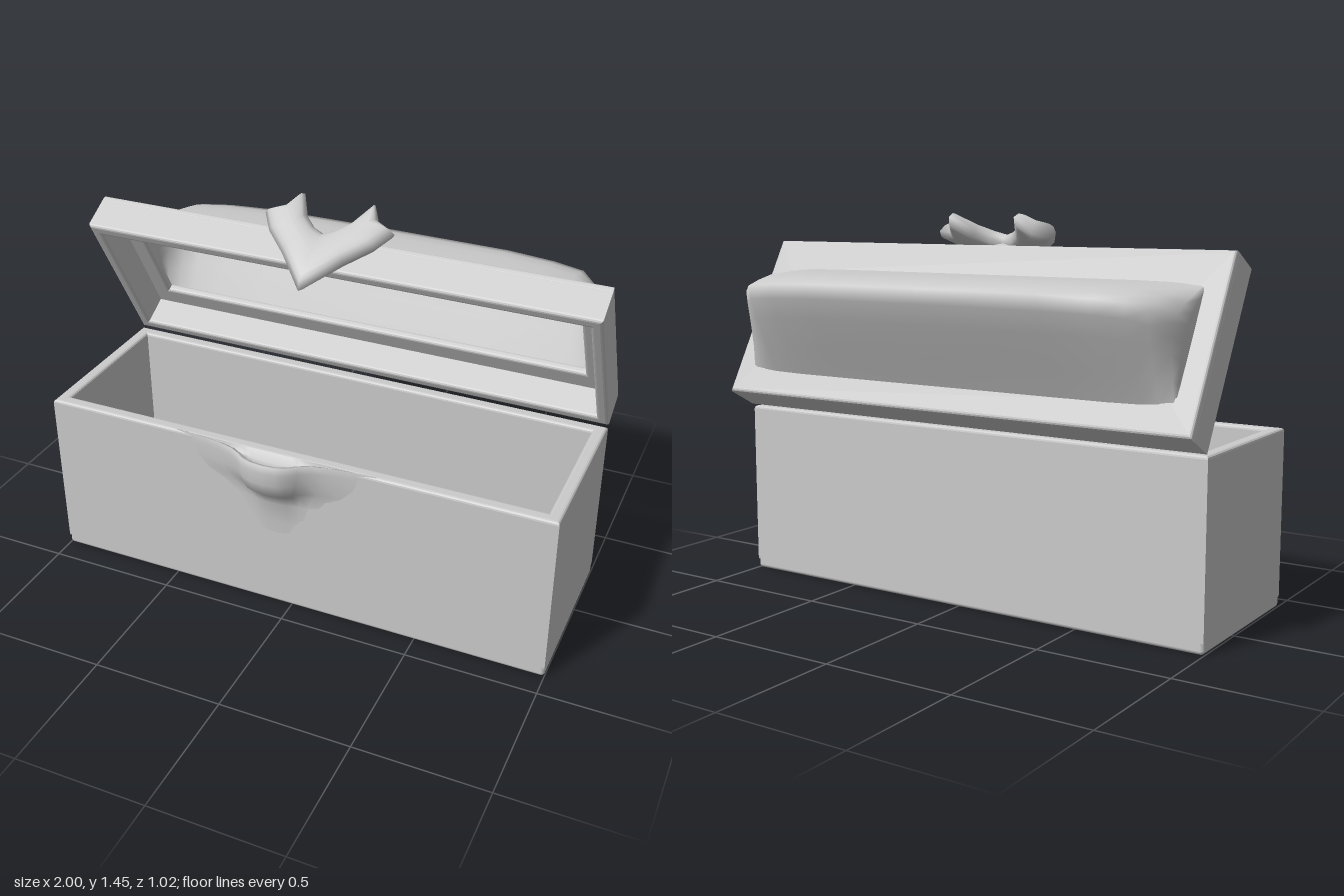
import * as THREE from 'three';
import { RoundedBoxGeometry } from 'three/addons/geometries/RoundedBoxGeometry.js';

const material = new THREE.MeshStandardMaterial({ color: 0xcccccc, side: THREE.DoubleSide });

function add(parent, name, geometry) {
  const mesh = new THREE.Mesh(geometry, material);
  mesh.name = name;
  parent.add(mesh);
  return mesh;
}

// Rectangular frame with softened edges; rectangles are [halfWidth, z0, z1]
function frame(outer, hole, y0, y1, bevel = 0.012) {
  const trace = (path, [hw, z0, z1]) =>
    path.moveTo(-hw, -z1).lineTo(hw, -z1).lineTo(hw, -z0).lineTo(-hw, -z0).closePath();
  const shape = trace(new THREE.Shape(), outer);
  shape.holes.push(trace(new THREE.Path(), hole));
  return new THREE.ExtrudeGeometry(shape, {
    depth: y1 - y0 - 2 * bevel, bevelThickness: bevel, bevelSize: bevel, bevelOffset: -bevel, bevelSegments: 3,
  }).rotateX(-Math.PI / 2).translate(0, y0 + bevel, 0);
}

// Smooth surface through rows of points
function loft(rows, closed = false) {
  const n = rows[0].length, index = [];
  for (let i = 0; i < rows.length - 1; i++) {
    for (let j = 0; j < (closed ? n : n - 1); j++) {
      const k = (j + 1) % n, a = i * n + j, b = i * n + k;
      index.push(a, b, a + n, b, b + n, a + n);
    }
  }
  const g = new THREE.BufferGeometry();
  g.setAttribute('position', new THREE.Float32BufferAttribute(rows.flat(2), 3));
  g.setIndex(index);
  g.computeVertexNormals();
  return g;
}

// Half a symmetric list of [x, ...] mirrored to both sides
const mirrored = (half) => [...half.map(([x, ...r]) => [-x, ...r]).reverse(), ...half.slice(1)];

// Peaked hollow dome on the lid, lofted along x
function domeGeometry() {
  const profile = [[0.09, 0], [0.165, 0.11], [0.24, 0.225], [0.29, 0.29], [0.33, 0.33],
    [0.375, 0.285], [0.425, 0.225], [0.49, 0.11], [0.55, 0]];
  const stations = mirrored([[0, 1, 1], [0.5, 0.99, 1], [0.68, 0.95, 1], [0.8, 0.89, 0.99],
    [0.86, 0.72, 0.97], [0.91, 0.47, 0.95], [0.918, 0.2, 0.94], [0.92, 0, 0.94]]);
  return loft(stations.map(([x, h, w]) =>
    profile.map(([u, v]) => [x, 0.145 + v * h, 0.33 + (u - 0.33) * w])));
}

// Pillow-shaped V plate: the outline shrinks onto a V spine on both faces
function emblemGeometry() {
  // outline x, outline z, spine x, spine z
  const half = [[0, -0.133, 0, 0.01], [0.12, 0.01, 0.06, 0.07], [0.21, 0.1, 0.11, 0.12], [0.255, 0.175, 0.16, 0.18],
    [0.18, 0.215, 0.16, 0.18], [0.14, 0.29, 0.16, 0.18], [0.09, 0.19, 0.11, 0.12], [0.045, 0.145, 0.06, 0.07]];
  const outline = [...half, [0, 0.125, 0, 0.01],
    ...half.slice(1).reverse().map(([x, z, sx, sz]) => [-x, z, -sx, sz])];
  const rows = [];
  for (let i = -6; i <= 6; i++) {
    const t = 1 - Math.abs(i) / 6;
    const lift = Math.sign(i) * 0.043 * Math.sqrt(1 - t * t);
    rows.push(outline.map(([x, z, sx, sz]) => [sx + (x - sx) * t, lift, sz + (z - sz) * t]));
  }
  return loft(rows, true);
}

// Scooped catch that blends into the front wall
function catchGeometry() {
  const bell = mirrored([[0, 0.102], [0.05, 0.097], [0.09, 0.082], [0.12, 0.058], [0.16, 0.034],
    [0.22, 0.017], [0.32, 0.004], [0.4, -0.003]]);
  // height, fraction of depth, fraction of width
  const levels = [[0.28, 0, 0.6], [0.38, 0.06, 0.6], [0.47, 0.18, 0.62], [0.52, 0.42, 0.7], [0.55, 0.85, 0.82],
    [0.6, 0.97, 0.95], [0.65, 1, 1], [0.68, 0.96, 1], [0.678, 0.84, 0.9], [0.655, 0.7, 0.8], [0.655, 0.3, 0.8], [0.678, 0, 0.8]];
  return loft(levels.map(([y, d, w]) => bell.map(([x, z]) => [-0.06 + x * w, y, 0.409 + z * d])));
}

export function createModel() {
  const model = new THREE.Group();
  model.name = 'openChest';

  // Chest body
  const body = new THREE.Group();
  body.name = 'body';
  model.add(body);
  add(body, 'walls', frame([1, -0.256, 0.412], [0.95, -0.206, 0.362], 0.03, 0.677));
  add(body, 'floor', new RoundedBoxGeometry(2, 0.06, 0.668, 3, 0.015)).position.set(0, 0.03, 0.078);
  add(body, 'catch', catchGeometry());

  // Lid, built closed (z from hinge to front) and swung open about the hinge
  const lid = new THREE.Group();
  lid.name = 'lid';
  lid.position.set(0, 0.68, -0.256);
  lid.rotation.x = -1.064;
  model.add(lid);
  add(lid, 'lidRim', frame([1, 0, 0.67], [0.955, 0.045, 0.622], 0, 0.14));
  add(lid, 'lidTop', frame([1, 0, 0.67], [0.885, 0.13, 0.52], 0.12, 0.154));
  add(lid, 'dome', domeGeometry());

  // Clasp on the front edge of the lid
  const emblem = add(lid, 'claspPlate', emblemGeometry());
  emblem.position.set(-0.05, 0, 0.71);
  emblem.rotation.x = Math.PI / 2;
  emblem.scale.z = -1;
  const neck = add(lid, 'claspNeck', new THREE.CylinderGeometry(0.07, 0.13, 0.03, 24));
  neck.rotation.x = Math.PI / 2;
  neck.scale.z = 0.5;
  neck.position.set(-0.05, 0.077, 0.68);
  return model;
}
